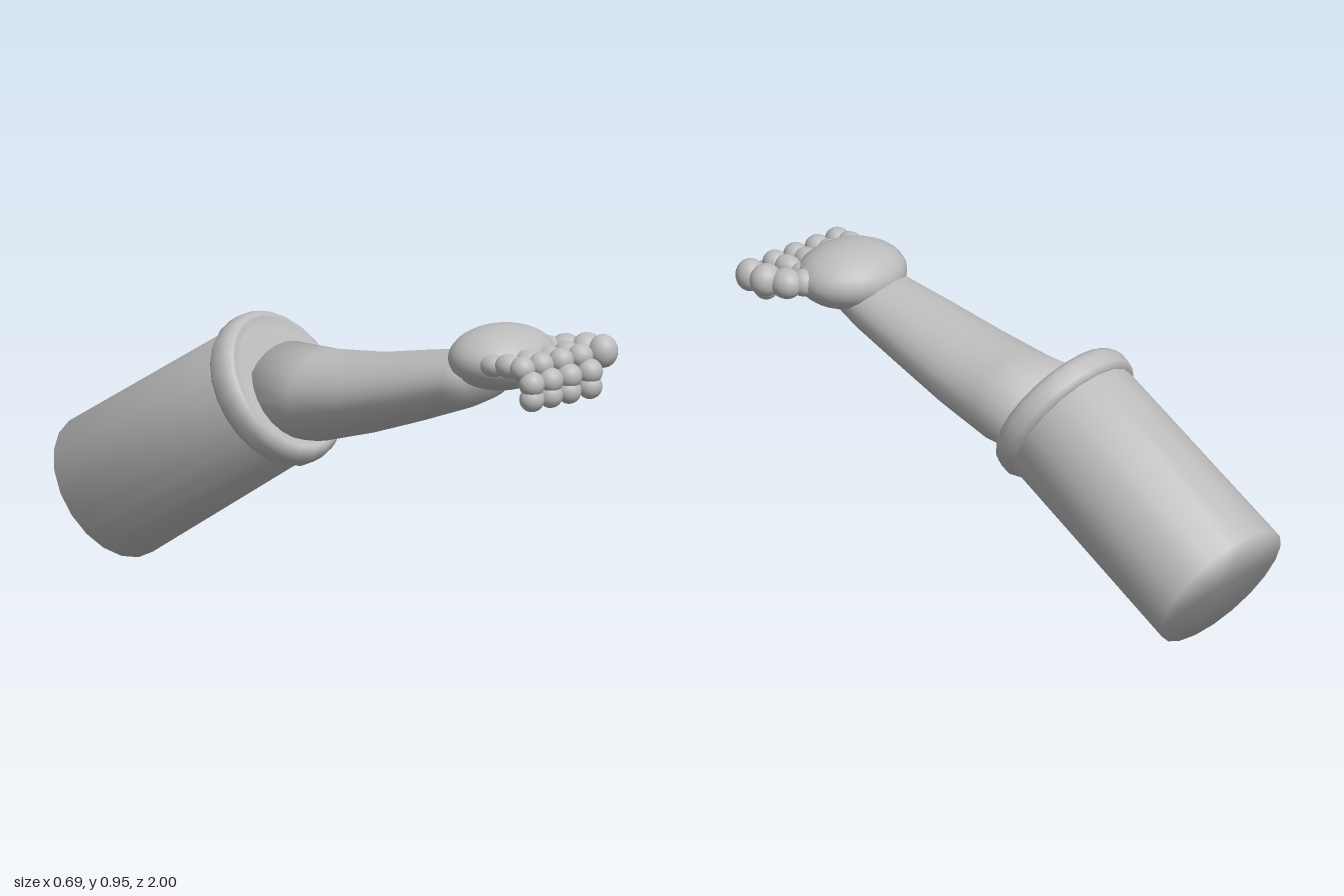
import * as THREE from 'three';
import { mergeVertices } from 'three/addons/utils/BufferGeometryUtils.js';

const grey = new THREE.MeshStandardMaterial({ color: 0xbcbcbc });
grey.name = 'plain grey';

function part(geometry, name, parent) {
  const mesh = new THREE.Mesh(geometry, grey);
  mesh.name = name;
  parent.add(mesh);
  return mesh;
}

// Shares every corner so that caps and sides shade as one smooth skin
function smooth(geometry) {
  geometry.deleteAttribute('uv');
  geometry.deleteAttribute('normal');
  const merged = mergeVertices(geometry, 1e-4);
  merged.computeVertexNormals();
  return merged;
}

function ball(name, parent, x, y, z, rx, ry = rx, rz = rx) {
  const mesh = part(new THREE.SphereGeometry(1, 24, 16), name, parent);
  mesh.position.set(x, y, z);
  mesh.scale.set(rx, ry, rz);
}

// Forearm cross-sections: z, centre x, centre y, half width, half height
const SECTIONS = [
  [-0.185, -0.02, 0.62, 0.185, 0.155],
  [0, -0.02, 0.628, 0.188, 0.148],
  [0.2, -0.018, 0.665, 0.178, 0.13],
  [0.4, -0.01, 0.716, 0.157, 0.115],
  [0.6, 0, 0.768, 0.135, 0.096],
  [0.68, 0, 0.792, 0.128, 0.082],
];

function forearmGeometry() {
  const rows = SECTIONS.length - 1;
  const geometry = new THREE.CylinderGeometry(1, 1, rows, 24, rows);
  geometry.rotateX(Math.PI / 2);
  const p = geometry.attributes.position;
  for (let i = 0; i < p.count; i++) {
    const [z, cx, cy, rx, ry] = SECTIONS[Math.round(p.getZ(i) + rows / 2)];
    p.setXYZ(i, cx + p.getX(i) * rx, cy + p.getY(i) * ry, z);
  }
  return smooth(geometry);
}

export function createModel() {
  const model = new THREE.Group();
  model.name = 'arm';

  // Sleeve and cuff share one tilted axis
  const back = new THREE.Vector3(-0.102, 0.215, -0.87);
  const front = new THREE.Vector3(-0.045, 0.627, -0.195);
  const axis = front.clone().sub(back);
  const length = axis.length();
  const sleeveGroup = new THREE.Group();
  sleeveGroup.name = 'sleeveAssembly';
  sleeveGroup.position.copy(back);
  sleeveGroup.quaternion.setFromUnitVectors(new THREE.Vector3(0, 1, 0), axis.normalize());
  model.add(sleeveGroup);

  const sleeve = new THREE.CylinderGeometry(0.24, 0.248, length, 20);
  sleeve.translate(0, length / 2, 0);
  part(smooth(sleeve), 'sleeve', sleeveGroup);

  const cuffProfile = [
    [0.23, -0.048], [0.251, -0.046], [0.261, -0.028], [0.262, 0.008],
    [0.255, 0.03], [0.24, 0.046], [0.225, 0.046], [0.205, 0.036], [0, 0.036],
  ].map(([r, h]) => new THREE.Vector2(r, h));
  part(new THREE.LatheGeometry(cuffProfile, 24), 'cuff', sleeveGroup).position.y = length;

  part(forearmGeometry(), 'forearm', model);

  // Hand: rounded palm, four curled fingers and a thumb
  const hand = new THREE.Group();
  hand.name = 'hand';
  model.add(hand);
  ball('palm', hand, 0.035, 0.85, 0.71, 0.19, 0.105, 0.162);

  // Finger base x and tip x
  const fingers = [[-0.108, -0.093], [-0.02, -0.006], [0.085, 0.08], [0.165, 0.178]];
  // Joints along each finger: share of sideways drift, y, z, radius
  const joints = [
    [0, 0.855, 0.8, 0.036, 0.05],
    [0.3, 0.862, 0.865, 0.039, 0.05],
    [0.6, 0.86, 0.92, 0.041, 0.042],
    [0.9, 0.815, 0.957, 0.042, 0.042],
    [1, 0.766, 0.956, 0.041, 0.04],
  ];
  fingers.forEach(([base, tip], i) => {
    const finger = new THREE.Group();
    finger.name = 'finger' + (i + 1);
    hand.add(finger);
    for (const [s, y, z, r, rz] of joints) {
      ball('fingerJoint', finger, base + (tip - base) * s, y, z, r, r, rz);
    }
  });

  const thumb = new THREE.Group();
  thumb.name = 'thumb';
  hand.add(thumb);
  ball('thumbJoint', thumb, 0.205, 0.852, 0.75, 0.045);
  ball('thumbJoint', thumb, 0.25, 0.852, 0.785, 0.05, 0.05, 0.055);
  ball('thumbJoint', thumb, 0.283, 0.855, 0.845, 0.055, 0.054, 0.05);
  ball('thumbJoint', thumb, 0.292, 0.856, 0.908, 0.048, 0.054, 0.048);

  return model;
}
